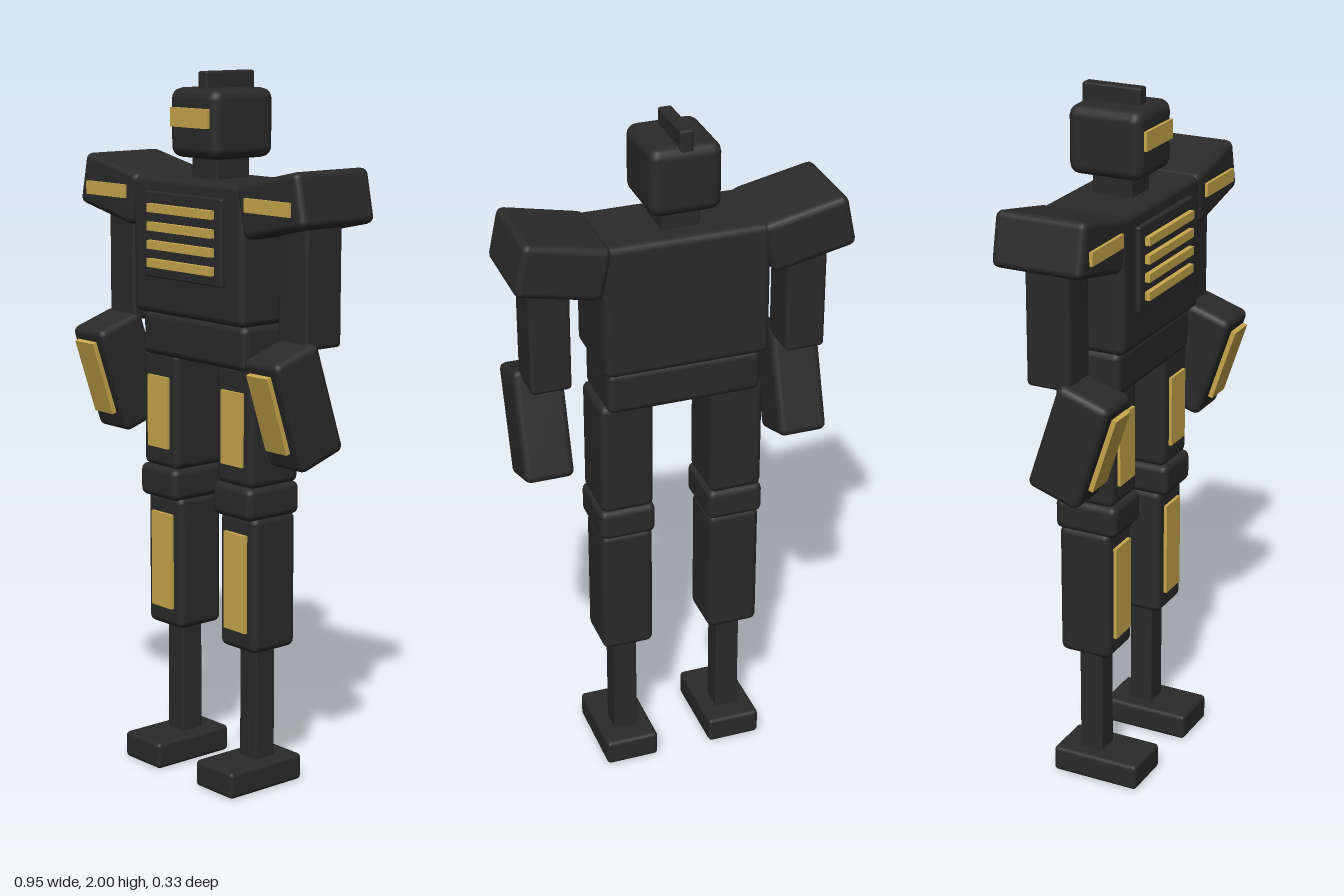
import * as THREE from 'three';
import { RoundedBoxGeometry } from 'three/addons/geometries/RoundedBoxGeometry.js';

const armour = new THREE.MeshStandardMaterial({ color: 0x2a2a2a });
armour.name = 'charcoal armour';
const gold = new THREE.MeshStandardMaterial({ color: 0xc9a84c });
gold.name = 'gold trim';

// Softly bevelled armour block
function block(parent, name, [w, h, d], [x, y, z], r = 0.02) {
  const mesh = new THREE.Mesh(new RoundedBoxGeometry(w, h, d, 2, r), armour);
  mesh.name = name;
  mesh.position.set(x, y, z);
  parent.add(mesh);
  return mesh;
}

// Sharp-edged gold plate
function plate(parent, name, [w, h, d], [x, y, z]) {
  const mesh = new THREE.Mesh(new THREE.BoxGeometry(w, h, d), gold);
  mesh.name = name;
  mesh.position.set(x, y, z);
  parent.add(mesh);
  return mesh;
}

function group(parent, name) {
  const g = new THREE.Group();
  g.name = name;
  parent.add(g);
  return g;
}

export function createModel() {
  const model = new THREE.Group();
  model.name = 'robot';

  // Head, visor, crest and neck
  const head = group(model, 'head');
  block(head, 'skull', [0.2, 0.19, 0.22], [0, 1.86, -0.033], 0.03);
  block(head, 'crest', [0.038, 0.08, 0.175], [0, 1.96, -0.05], 0.006);
  plate(head, 'visor', [0.156, 0.053, 0.009], [0, 1.876, 0.082]);
  block(head, 'neck', [0.107, 0.12, 0.12], [0, 1.74, -0.03], 0.006);

  // Torso, chest plate with four vent bars, pelvis
  const torso = group(model, 'torso');
  block(torso, 'chest', [0.468, 0.385, 0.253], [0, 1.517, -0.03]);
  block(torso, 'chestPlate', [0.33, 0.24, 0.03], [0, 1.55, 0.096], 0.006);
  for (let i = 0; i < 4; i++) {
    plate(torso, 'ventBar', [0.272, 0.024, 0.016], [0, 1.625 - i * 0.051, 0.117]);
  }
  block(torso, 'pelvis', [0.44, 0.125, 0.21], [0, 1.263, -0.03]);

  for (const s of [-1, 1]) {
    const side = s > 0 ? 'left' : 'right';

    // Arm: tilted shoulder pad, hanging upper arm, forward-bent forearm
    const arm = group(model, side + 'Arm');
    block(arm, 'shoulder', [0.245, 0.15, 0.265], [s * 0.343, 1.662, -0.032]).rotation.z = s * 0.21;
    plate(arm, 'shoulderStripe', [0.176, 0.038, 0.009], [s * 0.343, 1.66, 0.105]);
    block(arm, 'upperArm', [0.115, 0.34, 0.13], [s * 0.365, 1.45, -0.03], 0.012);
    const forearm = group(arm, 'forearm');
    forearm.position.set(s * 0.374, 1.13, 0.035);
    forearm.rotation.x = 0.32;
    block(forearm, 'forearmShell', [0.142, 0.32, 0.16], [0, 0, 0]);
    plate(forearm, 'forearmPanel', [0.083, 0.225, 0.014], [0, 0.016, 0.09]);

    // Leg: thigh, knee, shin, thin ankle strut and foot
    const leg = group(model, side + 'Leg');
    leg.position.x = s * 0.16;
    block(leg, 'thigh', [0.152, 0.34, 0.178], [0, 1.045, -0.027]);
    plate(leg, 'thighPanel', [0.088, 0.207, 0.009], [0, 1.038, 0.066]);
    block(leg, 'knee', [0.162, 0.094, 0.19], [0, 0.832, -0.022]);
    block(leg, 'shin', [0.15, 0.39, 0.156], [0, 0.597, -0.03]);
    plate(leg, 'shinPanel', [0.088, 0.28, 0.01], [0, 0.6, 0.053]);
    block(leg, 'ankleStrut', [0.07, 0.36, 0.07], [0, 0.24, -0.03], 0.004);
    block(leg, 'foot', [0.157, 0.077, 0.266], [0, 0.0385, 0.001], 0.012);
  }
  return model;
}
